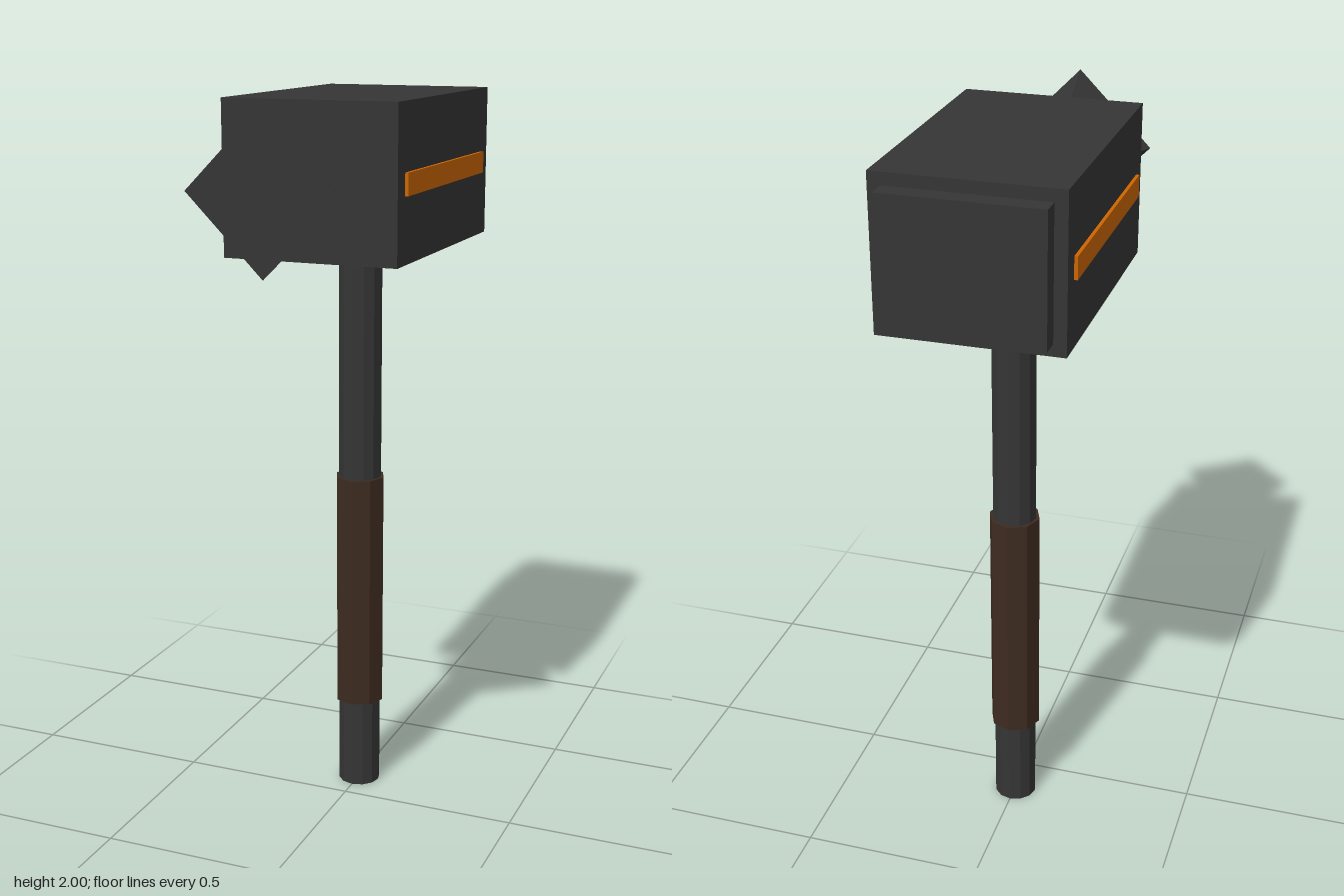
import * as THREE from 'three';

export function createModel() {
  const group = new THREE.Group();
  const material = (name, color) => {
    const m = new THREE.MeshStandardMaterial({ color, flatShading: true });
    m.name = name;
    return m;
  };
  const iron = material('dark iron', 0x353535);
  const leather = material('brown leather', 0x3d2b20);
  const orange = material('glowing orange', 0xcc6600);

  const add = (name, geometry, mat, x, y, z) => {
    const mesh = new THREE.Mesh(geometry, mat);
    mesh.name = name;
    mesh.position.set(x, y, z);
    group.add(mesh);
    return mesh;
  };

  const headY = 1.798, shaftZ = -0.111;

  // Shaft with a thicker wrapped grip
  add('shaft', new THREE.CylinderGeometry(0.06, 0.06, 1.62, 12), iron, 0, 0.81, shaftZ);
  add('grip', new THREE.CylinderGeometry(0.071, 0.071, 0.68, 8), leather, 0, 0.6, shaftZ);

  // Block head and raised striking plate at the back
  add('head', new THREE.BoxGeometry(0.476, 0.404, 0.717), iron, 0, headY, -0.113);
  add('strikingPlate', new THREE.BoxGeometry(0.41, 0.34, 0.06), iron, 0, headY, -0.493);

  // Four-sided pyramid, point sunk into the head, base facing forward
  const spike = new THREE.ConeGeometry(0.203, 0.38, 4).rotateX(-Math.PI / 2);
  add('spike', spike, iron, 0, headY, 0.33);

  // Inlaid strips on both sides
  for (const side of [1, -1]) {
    add(side > 0 ? 'leftStrip' : 'rightStrip',
      new THREE.BoxGeometry(0.0098, 0.058, 0.612), orange, side * 0.2421, headY, -0.112);
  }
  return group;
}
